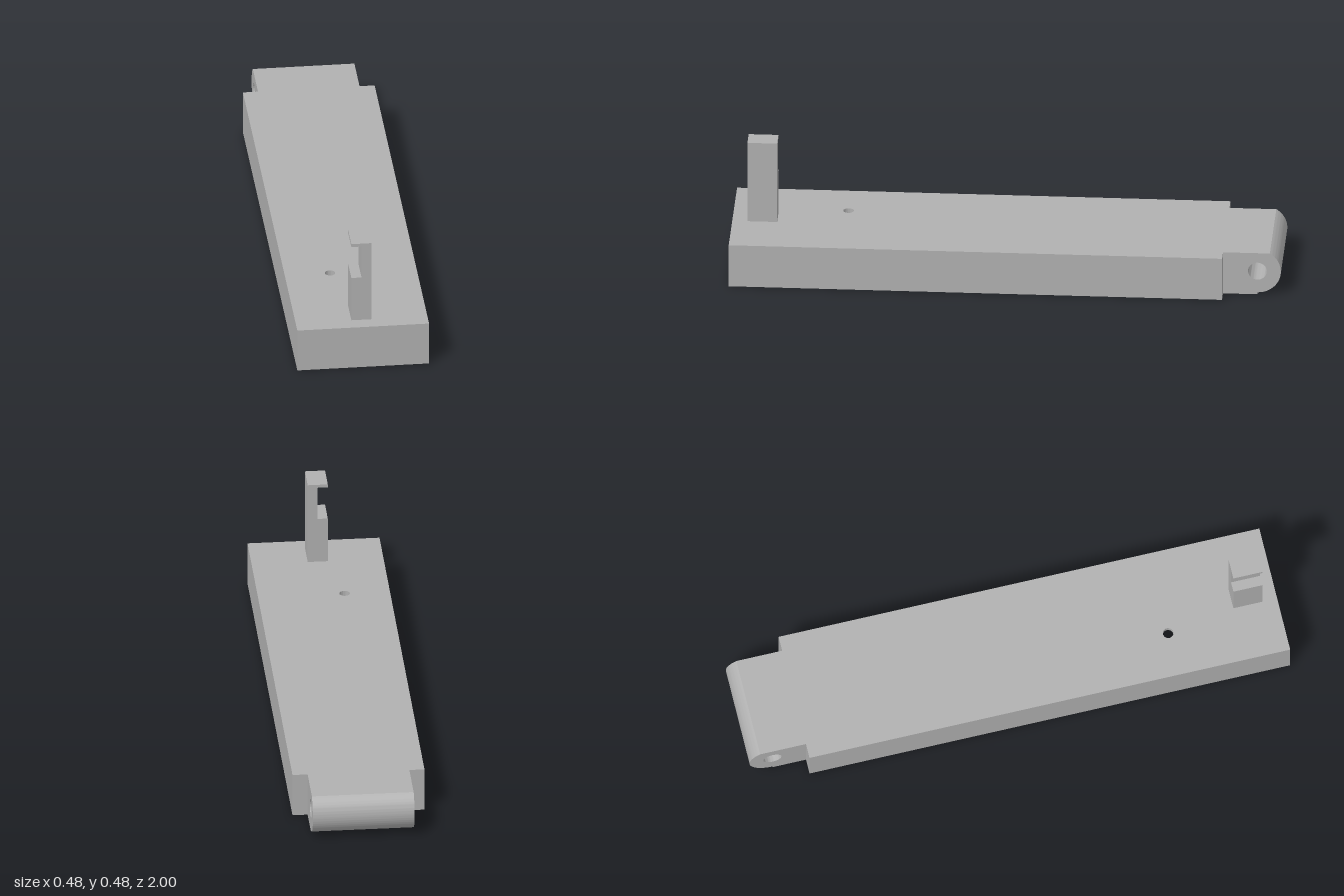
import * as THREE from 'three';
import { toCreasedNormals } from 'three/addons/utils/BufferGeometryUtils.js';

const HALF_W = 0.24, TOP = 0.165, FRONT = 1, BACK = -0.79;
const BORE = { x: -0.075, z: 0.585 };

function polygon(points) {
  return new THREE.Shape(points.map(([x, y]) => new THREE.Vector2(x, y)));
}

function addHole(shape, x, y, r) {
  const hole = new THREE.Path();
  hole.absarc(x, y, r, 0, Math.PI * 2, true);
  shape.holes.push(hole);
}

function extrude(shape, depth) {
  const geo = new THREE.ExtrudeGeometry(shape, { depth, bevelEnabled: false, curveSegments: 32 });
  return toCreasedNormals(geo, 0.5);
}

export function createModel() {
  const group = new THREE.Group();
  const grey = new THREE.MeshStandardMaterial({ color: 0xb0b0b0 });
  grey.name = 'grey';

  function add(name, geo) {
    const mesh = new THREE.Mesh(geo, grey);
    mesh.name = name;
    group.add(mesh);
  }

  // Horizontal layer of the body with a round hole on the bore axis
  function layer(y0, y1, holeRadius) {
    const shape = polygon([[-HALF_W, -FRONT], [HALF_W, -FRONT], [HALF_W, -BACK], [-HALF_W, -BACK]]);
    addHole(shape, BORE.x, -BORE.z, holeRadius);
    return extrude(shape, y1 - y0).rotateX(-Math.PI / 2).translate(0, y0, 0);
  }

  // Body: wide blind bore from below, pin hole through the thin top
  const ceiling = 0.145;
  add('bodyBase', layer(0, ceiling, 0.123));
  add('bodyTop', layer(ceiling, TOP, 0.019));

  // Hinge knuckle: rounded side profile with a pin hole, run across the width
  const hinge = { z: 0.915, y: 0.093, r: 0.085, halfW: 0.185 };
  const profile = new THREE.Shape();
  profile.moveTo(-BACK, 0);
  profile.lineTo(hinge.z, 0);
  profile.lineTo(hinge.z, hinge.y - hinge.r);
  profile.absarc(hinge.z, hinge.y, hinge.r, -Math.PI / 2, Math.asin((TOP - hinge.y) / hinge.r), false);
  profile.lineTo(-BACK, TOP);
  addHole(profile, hinge.z, hinge.y, 0.034);
  add('hingeKnuckle', extrude(profile, hinge.halfW * 2).rotateY(Math.PI / 2).translate(-hinge.halfW, 0, 0));

  // Upright latch with a notch under its thin top lip
  const latch = polygon([
    [-0.037, TOP], [0.036, TOP], [0.036, 0.48], [-0.037, 0.48],
    [-0.037, 0.468], [0, 0.468], [0, 0.34], [-0.037, 0.34],
  ]);
  add('latchPost', extrude(latch, 0.108).translate(0, 0, 0.837));

  return group;
}
